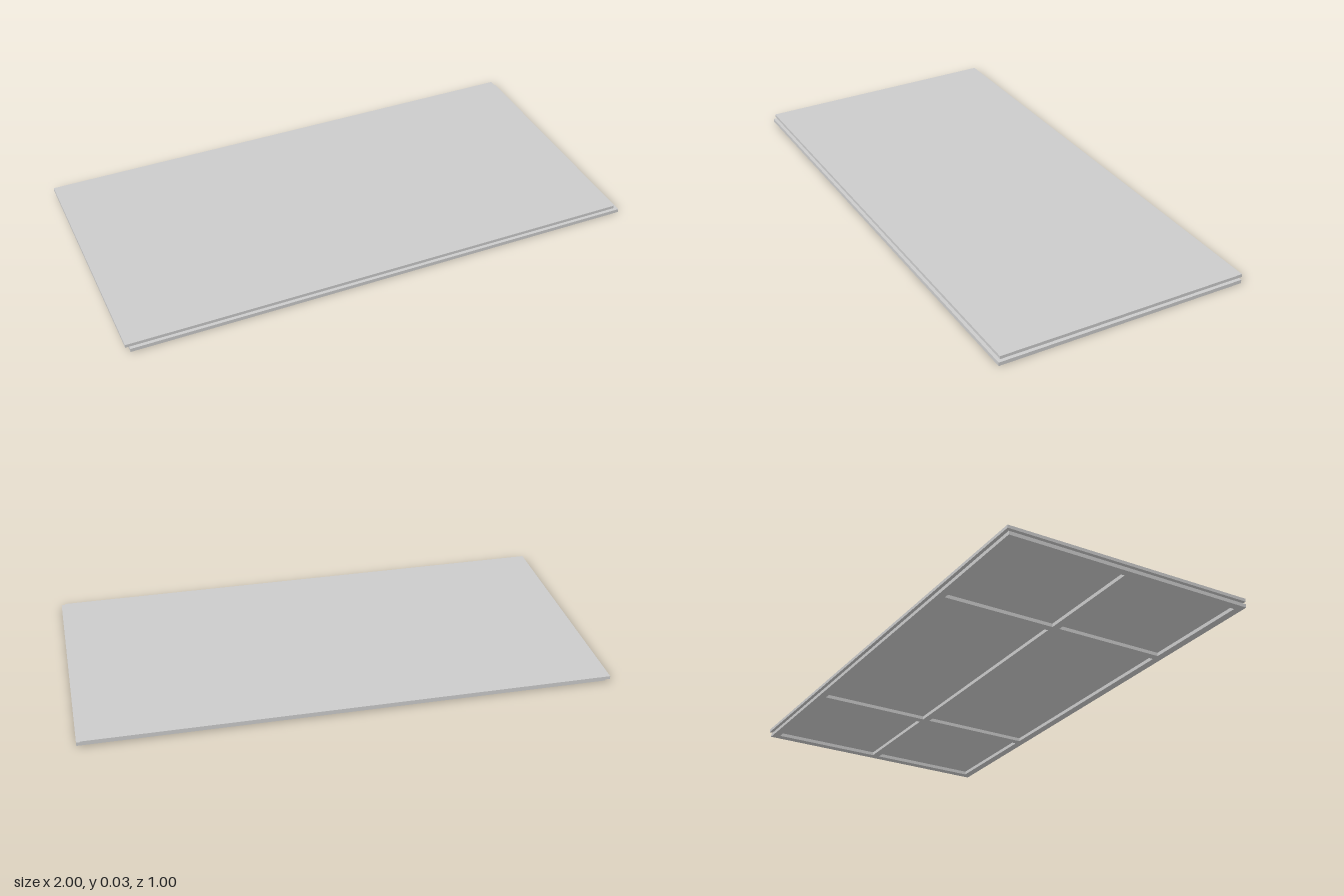
import * as THREE from 'three';

export function createModel() {
  const model = new THREE.Group();
  const material = new THREE.MeshStandardMaterial({ color: 0xcccccc, flatShading: true });

  // Box given by its extents on each axis
  function addBox(parent, name, [x0, x1], [y0, y1], [z0, z1]) {
    const mesh = new THREE.Mesh(new THREE.BoxGeometry(x1 - x0, y1 - y0, z1 - z0), material);
    mesh.position.set((x0 + x1) / 2, (y0 + y1) / 2, (z0 + z1) / 2);
    mesh.name = name;
    parent.add(mesh);
  }

  // Flat panel, shifted slightly to the back and right of its frame
  addBox(model, 'panel', [-1, 0.986], [0.014, 0.026], [-0.502, 0.489]);

  // Supporting frame below the panel
  const frame = new THREE.Group();
  frame.name = 'frame';
  model.add(frame);
  const left = 1, right = -0.986, front = 0.502, back = -0.489;
  const width = 0.03, height = [0, 0.014];
  const midX = (left + right) / 2, midZ = (front + back) / 2;

  // Long rails: back, middle and front
  const rails = { backRail: back + width / 2, middleRail: midZ, frontRail: front - width / 2 };
  for (const [name, z] of Object.entries(rails)) {
    const inset = name === 'middleRail' ? width : 0;
    addBox(frame, name, [right + inset, left - inset], height, [z - width / 2, z + width / 2]);
  }

  // End rails and two cross ribs, fitted between the long rails
  const ribs = { rightEnd: right + width / 2, rightRib: midX - 0.5, leftRib: midX + 0.5, leftEnd: left - width / 2 };
  for (const [name, x] of Object.entries(ribs)) {
    const span = [x - width / 2, x + width / 2];
    if (name.endsWith('End')) {
      addBox(frame, name, span, height, [back + width, front - width]);
    } else {
      addBox(frame, name + 'Back', span, height, [back + width, midZ - width / 2]);
      addBox(frame, name + 'Front', span, height, [midZ + width / 2, front - width]);
    }
  }
  return model;
}
